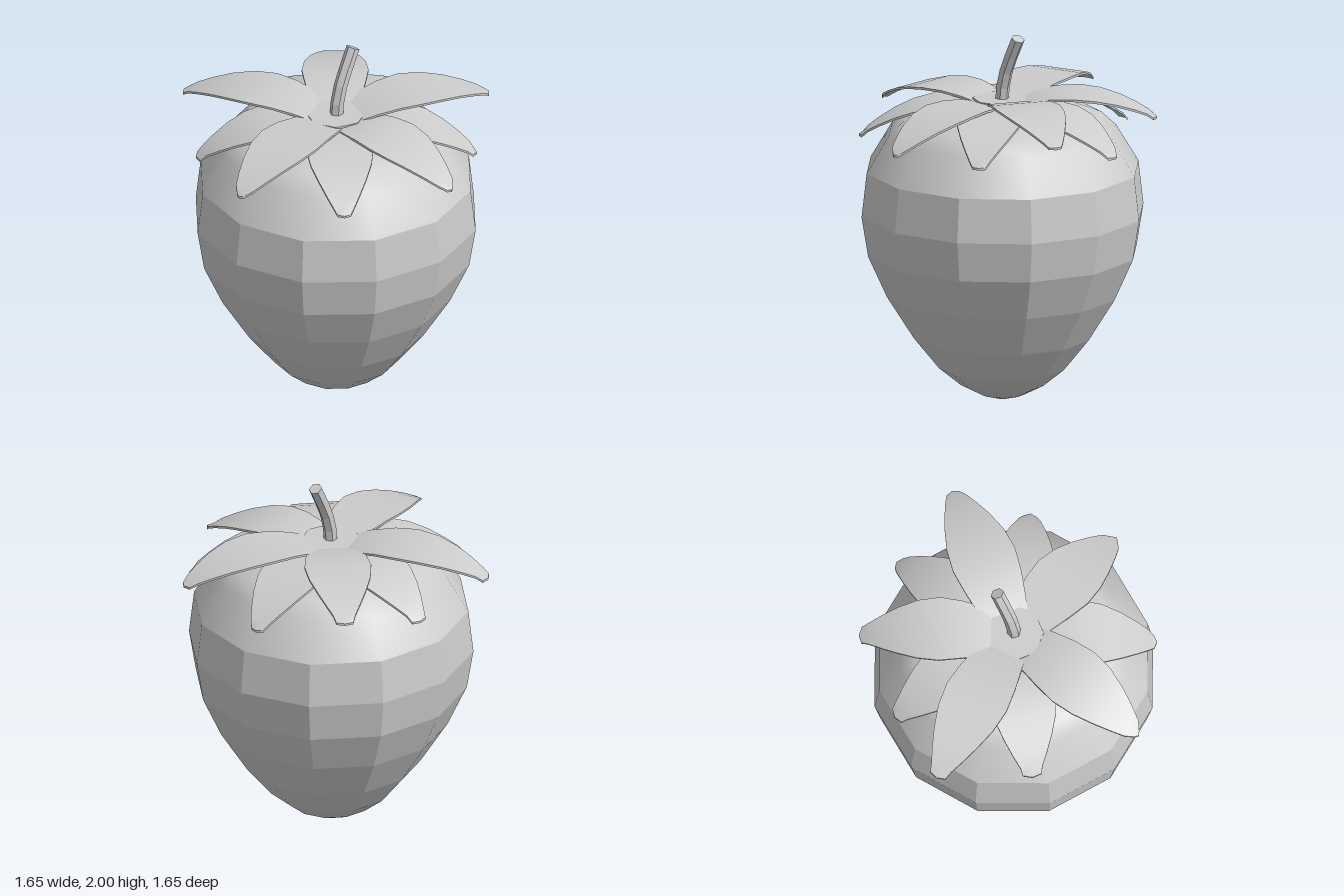
import * as THREE from 'three';

const CX = 0.013, CZ = 0.018; // axis of the fruit

function mesh(name, geometry, material) {
  const m = new THREE.Mesh(geometry, material);
  m.name = name;
  return m;
}

// Linear interpolation through [position, value] pairs
function sample(table, t) {
  for (let i = 1; i < table.length; i++) {
    const [a, va] = table[i - 1], [b, vb] = table[i];
    if (t <= b) return va + (vb - va) * (t - a) / (b - a);
  }
  return table[table.length - 1][1];
}

// Thin arched leaf: rows run outward from the centre along +z
const ROWS = [0.08, 0.2, 0.34, 0.48, 0.62, 0.75, 0.86, 0.94, 1];
const WIDTH = [[0, 0.09], [0.12, 0.12], [0.3, 0.157], [0.48, 0.176], [0.62, 0.162],
  [0.75, 0.128], [0.86, 0.09], [0.94, 0.058]];

function leafGeometry(length, baseY, tipY, arch, tipWidth) {
  const table = [...WIDTH, [1, tipWidth]];
  const g = new THREE.BoxGeometry(1, 1, 1, 2, 1, ROWS.length - 1);
  const p = g.attributes.position;
  for (let i = 0; i < p.count; i++) {
    const t = ROWS[Math.round((p.getZ(i) + 0.5) * (ROWS.length - 1))];
    const y = baseY + (tipY - baseY + arch) * t - arch * t * t;
    // the tip is slightly rounded
    const round = t === 1 ? Math.abs(p.getX(i)) * 0.03 : 0;
    p.setXYZ(i, p.getX(i) * 2 * sample(table, t), y + p.getY(i) * 0.012, t * length - round);
  }
  g.computeVertexNormals();
  return g;
}

// Six-sided stem: a cylinder bent along a curve in the x-y plane
function stemGeometry() {
  const curve = new THREE.CatmullRomCurve3([[0.01, 1.58], [0.027, 1.73], [0.07, 1.84], [0.141, 1.979]]
    .map(([x, y]) => new THREE.Vector3(x, y, 0)));
  const g = new THREE.CylinderGeometry(0.036, 0.036, 1, 6, 4).rotateY(Math.PI / 6);
  const p = g.attributes.position;
  for (let i = 0; i < p.count; i++) {
    const t = p.getY(i) + 0.5;
    const c = curve.getPoint(t), d = curve.getTangent(t);
    p.setXYZ(i, c.x + d.y * p.getX(i), c.y - d.x * p.getX(i), p.getZ(i));
  }
  return g;
}

export function createModel() {
  const model = new THREE.Group();
  model.name = 'strawberry';
  const flat = new THREE.MeshStandardMaterial({ color: 0xcccccc, flatShading: true });
  const smooth = new THREE.MeshStandardMaterial({ color: 0xcccccc });

  // Faceted twelve-sided body with a smooth shoulder
  const lathe = (pts) => new THREE.LatheGeometry(pts.map(([r, y]) => new THREE.Vector2(r, y)), 12);
  const body = new THREE.Group();
  body.name = 'fruit';
  body.add(
    mesh('fruitBody', lathe([[0, 0], [0.12, 0.035], [0.225, 0.09], [0.34, 0.185], [0.476, 0.355],
      [0.62, 0.585], [0.722, 0.81], [0.757, 1.025], [0.73, 1.26]]), flat),
    mesh('fruitShoulder', lathe([[0.73, 1.26], [0.61, 1.46], [0.53, 1.535], [0.39, 1.59],
      [0.2, 1.6], [0, 1.6]]), smooth));
  body.position.set(CX, 0, CZ);
  model.add(body);

  // Leaves: angle from the front, length, tip height, tip half width
  const layers = {
    upperLeaf: { baseY: 1.585, arch: 0.41, leaves: [[3, 0.805, 1.46, 0.022], [67, 0.88, 1.565, 0.035],
      [134, 0.815, 1.545, 0.045], [198, 0.885, 1.56, 0.045], [-83.5, 0.845, 1.505, 0.022]] },
    lowerLeaf: { baseY: 1.575, arch: 0.43, leaves: [[38.5, 0.745, 1.43, 0.035], [98, 0.775, 1.43, 0.035],
      [168, 0.745, 1.44, 0.045], [-43, 0.755, 1.43, 0.035], [-127, 0.745, 1.435, 0.05]] },
  };
  const calyx = new THREE.Group();
  calyx.name = 'calyx';
  for (const [name, { baseY, arch, leaves }] of Object.entries(layers)) {
    leaves.forEach(([angle, length, tipY, tipWidth], i) => {
      const leaf = mesh(name + (i + 1), leafGeometry(length, baseY, tipY, arch, tipWidth), smooth);
      leaf.rotation.y = THREE.MathUtils.degToRad(angle);
      calyx.add(leaf);
    });
  }

  // Small eight-sided disc where the leaves meet
  const disc = mesh('calyxDisc', new THREE.CylinderGeometry(0.158, 0.158, 0.05, 8), flat);
  disc.position.y = 1.61;
  calyx.add(disc);
  calyx.position.set(CX, 0, CZ);
  model.add(calyx);

  const stem = mesh('stem', stemGeometry(), flat);
  stem.position.z = 0.022;
  model.add(stem);
  return model;
}
